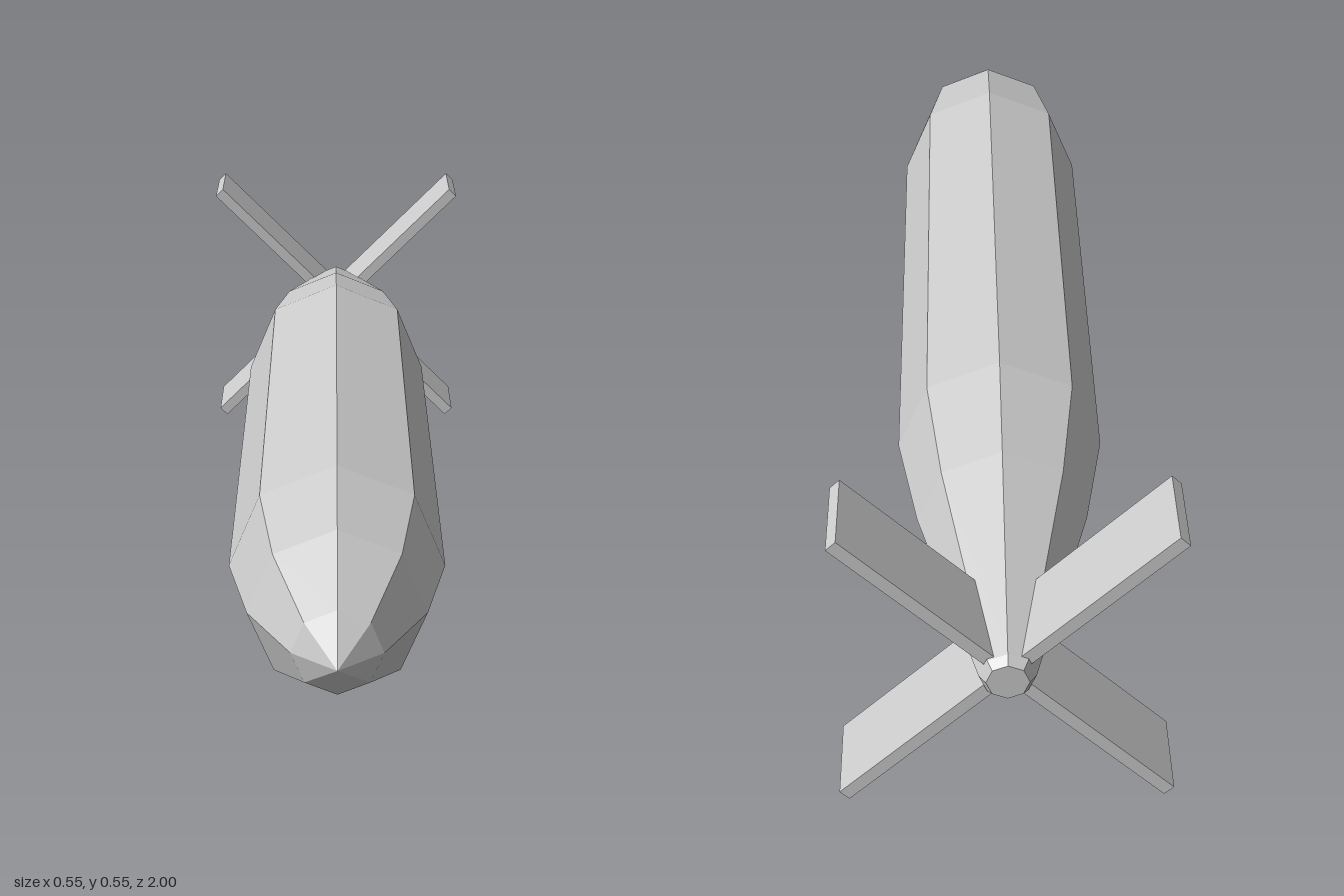
import * as THREE from 'three';

export function createModel() {
  const group = new THREE.Group();
  const material = new THREE.MeshStandardMaterial({ color: 0xcccccc, flatShading: true });
  const axisY = 0.277;

  // Eight-sided body: [radius, z] from the tail cap to the nose tip
  const profile = [
    [0, -1], [0.035, -1], [0.046, -0.985], [0.147, -0.6], [0.183, -0.39],
    [0.183, 0.62], [0.146, 0.8], [0.073, 0.94], [0, 1],
  ].map(([r, z]) => new THREE.Vector2(r, z));
  const body = new THREE.Mesh(new THREE.LatheGeometry(profile, 8).rotateX(Math.PI / 2), material);
  body.name = 'body';
  body.position.y = axisY;
  group.add(body);

  // Four flat tail fins on the diagonals, rooted inside the tail cone
  const inner = 0.02, outer = 0.379;
  const finGeometry = new THREE.BoxGeometry(outer - inner, 0.0226, 0.15)
    .translate((inner + outer) / 2, 0, -0.907);
  for (let i = 0; i < 4; i++) {
    const fin = new THREE.Mesh(finGeometry, material);
    fin.name = `tailFin${i + 1}`;
    fin.position.y = axisY;
    fin.rotation.z = Math.PI / 4 + (i * Math.PI) / 2;
    group.add(fin);
  }
  return group;
}
